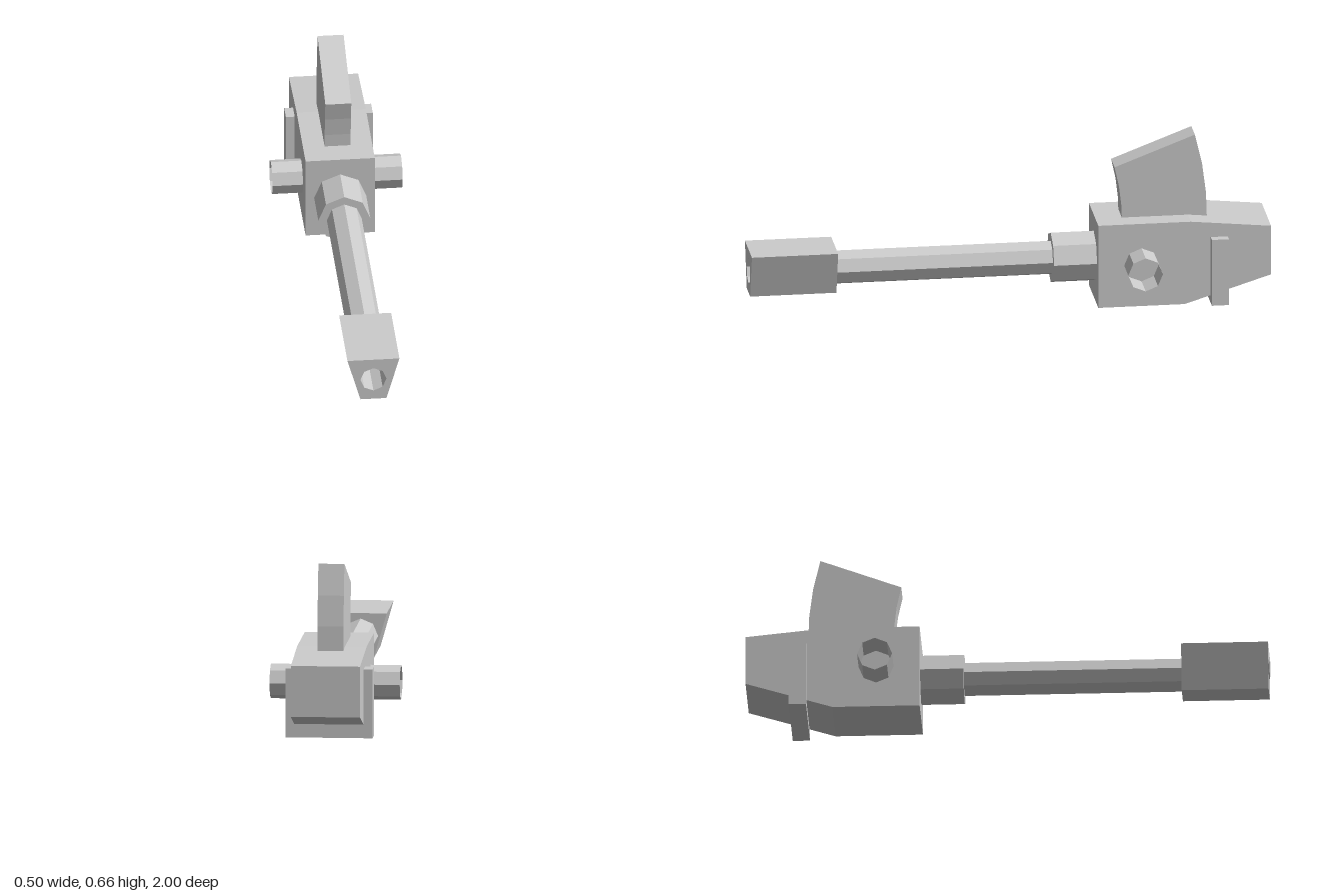
import * as THREE from 'three';

const AXIS_Y = 0.167; // height of the barrel and side pins

export function createModel() {
  const model = new THREE.Group();
  const solid = new THREE.MeshStandardMaterial({ color: 0xcccccc, flatShading: true });
  const open = new THREE.MeshStandardMaterial({ color: 0xcccccc, flatShading: true, side: THREE.DoubleSide });

  const add = (name, geometry, material = solid) => {
    const mesh = new THREE.Mesh(geometry, material);
    mesh.name = name;
    model.add(mesh);
    return mesh;
  };
  const shapeOf = (points) => new THREE.Shape(points.map(([x, y]) => new THREE.Vector2(x, y)));

  // Side profile given as (distance behind centre, height), extruded across x
  const sideProfile = (points, width) =>
    new THREE.ExtrudeGeometry(shapeOf(points), { depth: width, bevelEnabled: false })
      .translate(0, 0, -width / 2)
      .rotateY(Math.PI / 2);

  // Eight-sided bar along z
  const bar = (radius, z0, z1) =>
    new THREE.CylinderGeometry(radius, radius, z1 - z0, 8)
      .rotateX(Math.PI / 2)
      .translate(0, AXIS_Y, (z0 + z1) / 2);

  // Receiver with tapered rear
  add('receiver', sideProfile([
    [0.333, 0], [0.667, 0], [1, 0.105], [1, 0.302], [0.69, 0.333], [0.333, 0.333],
  ], 0.266));

  // Curved magazine rising from the receiver
  add('magazine', sideProfile([
    [0.436, 0.31], [0.764, 0.3], [0.76, 0.42], [0.745, 0.537], [0.717, 0.656],
    [0.407, 0.538], [0.424, 0.46], [0.433, 0.385],
  ], 0.1));

  // Barrel and its collar
  add('collar', bar(0.1, -0.335, -0.167));
  add('barrel', bar(0.067, -0.2, 0.668));

  // Trapezoid muzzle block with an octagonal bore
  const muzzle = shapeOf([[-0.05, 0.08], [0.05, 0.08], [0.1, 0.255], [-0.1, 0.255]]);
  const bore = [];
  for (let i = 0; i < 8; i++) {
    const a = -i * Math.PI / 4;
    bore.push(new THREE.Vector2(0.05 * Math.cos(a), AXIS_Y + 0.05 * Math.sin(a)));
  }
  muzzle.holes.push(new THREE.Path(bore));
  add('muzzle', new THREE.ExtrudeGeometry(muzzle, { depth: 0.333, bevelEnabled: false })
    .translate(0, 0, 0.667));

  // Hollow pins on both sides
  for (const [name, side] of [['leftPin', 1], ['rightPin', -1]]) {
    const pin = add(name, new THREE.CylinderGeometry(0.067, 0.067, 0.117, 8, 1, true)
      .rotateZ(Math.PI / 2), open);
    pin.position.set(side * 0.1915, AXIS_Y, -0.5);
  }

  // Bracket wrapped round the sides and underside of the rear
  const bracket = add('rearBracket', new THREE.BoxGeometry(0.334, 0.267, 0.066));
  bracket.position.set(0, 0.1335, -0.8);

  return model;
}
